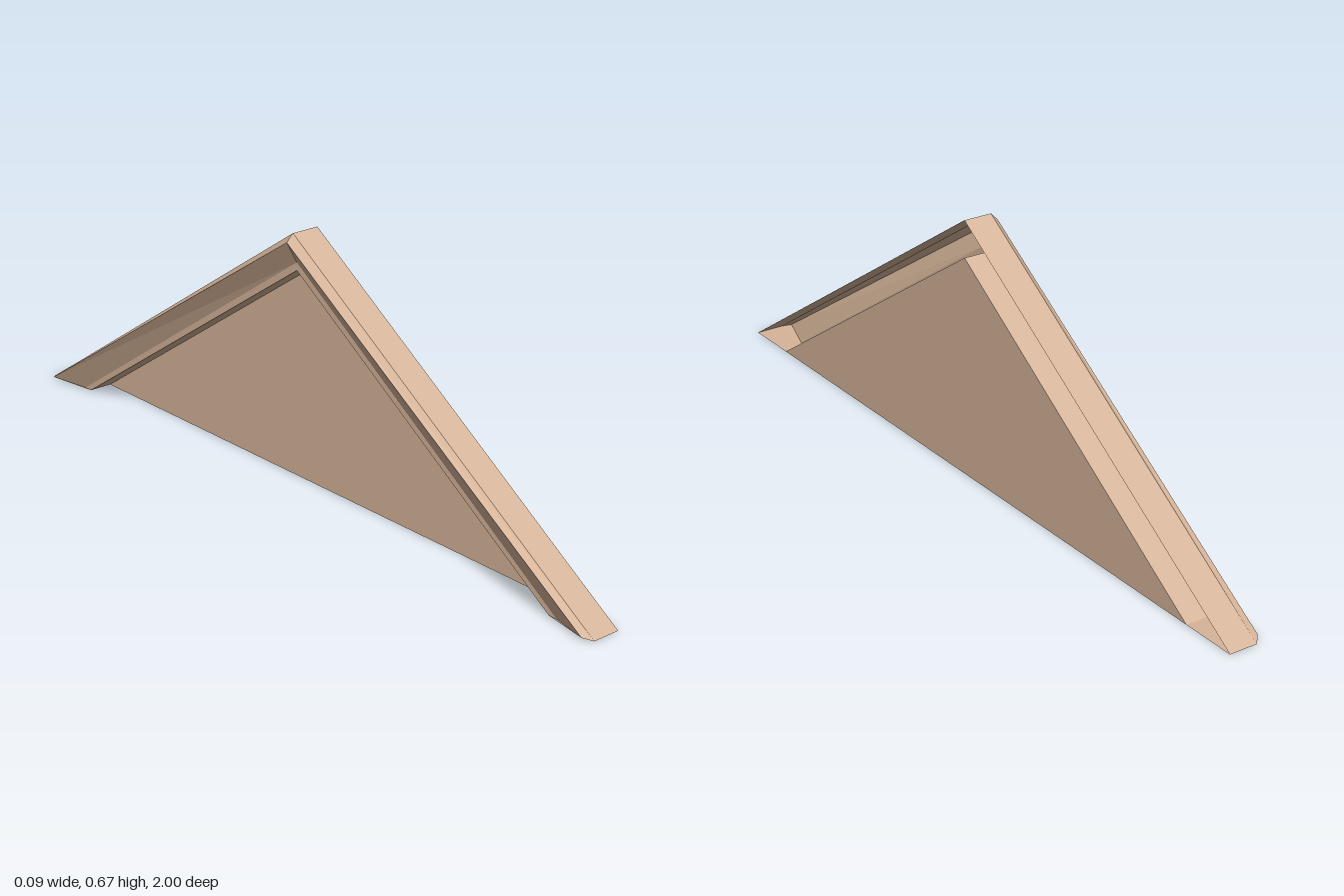
import * as THREE from 'three';

// Moulding profile from back top round to the panel:
// x, height at the ridge, then z and y at the foot of the rake
const PROFILE = [
  [0.047, 0.665, 1.0, 0],
  [-0.028, 0.665, 1.0, 0],
  [-0.047, 0.646, 0.98, 0.007],
  [-0.016, 0.59, 0.877, 0],
  [-0.016, 0.57, 0.852, 0],
  [0.047, 0.57, 0.852, 0],
];

function meshFrom(name, triangles, material) {
  const geometry = new THREE.BufferGeometry();
  geometry.setAttribute('position', new THREE.Float32BufferAttribute(triangles.flat(2), 3));
  geometry.computeVertexNormals();
  const mesh = new THREE.Mesh(geometry, material);
  mesh.name = name;
  return mesh;
}

// One sloping half of the moulding; side is +1 for front, -1 for back
function rake(name, side, material) {
  const foot = PROFILE.map(([x, , z, y]) => [x, y, z * side]);
  const ridge = PROFILE.map(([x, h]) => [x, h, 0]);
  const triangles = [];
  const add = (a, b, c) => triangles.push(side > 0 ? [a, b, c] : [a, c, b]);
  for (let i = 0; i < PROFILE.length - 1; i++) {
    add(foot[i], ridge[i], ridge[i + 1]);
    add(foot[i], ridge[i + 1], foot[i + 1]);
  }
  // Foot cap, fanned from the inner corner of the profile
  for (const [i, j] of [[5, 0], [0, 1], [1, 2], [2, 3]]) add(foot[4], foot[i], foot[j]);
  return meshFrom(name, triangles, material);
}

export function createModel() {
  const group = new THREE.Group();
  group.name = 'gablePediment';
  const tan = new THREE.MeshStandardMaterial({ color: 0xd6b59a, side: THREE.DoubleSide });
  tan.name = 'tan';

  // Raking mouldings, hollow and open at the rear
  group.add(rake('frontRake', 1, tan), rake('backRake', -1, tan));

  // Triangular panel set at the rear of the mouldings
  const [x, h, z] = PROFILE[5];
  group.add(meshFrom('gablePanel', [[[x, 0, z], [x, 0, -z], [x, h, 0]]], tan));
  return group;
}
